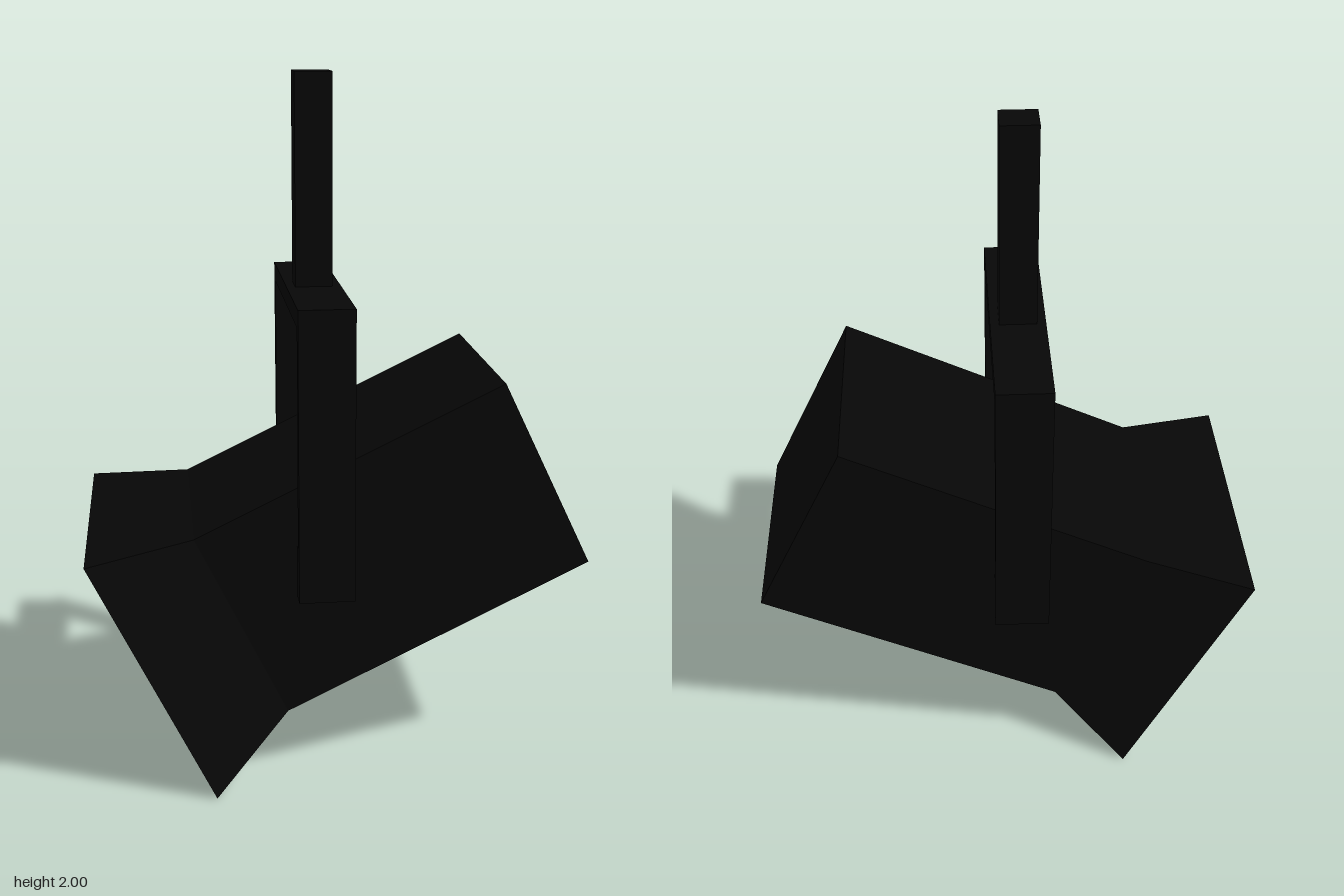
import * as THREE from 'three';

export function createModel() {
  const model = new THREE.Group();
  model.name = 'stageLight';

  const black = new THREE.MeshStandardMaterial({ color: 0x070707 });
  black.name = 'matte black';
  const blackShell = new THREE.MeshStandardMaterial({ color: 0x070707, side: THREE.DoubleSide });
  blackShell.name = 'matte black shell';
  const glass = new THREE.MeshStandardMaterial({ color: 0xcccccc });
  glass.name = 'pale lens';

  const add = (parent, name, geometry, material, x, y, z) => {
    const mesh = new THREE.Mesh(geometry, material);
    mesh.name = name;
    mesh.position.set(x, y, z);
    parent.add(mesh);
  };
  const box = (parent, name, size, pos, material = black) =>
    add(parent, name, new THREE.BoxGeometry(...size), material, ...pos);

  // Tilted lamp head: local x runs along the beam axis, the opening is at -x
  const L = 0.966, H = 0.595, D = 0.645;
  const flareL = 0.284, flareH = 0.794, flareD = 0.84;
  const head = new THREE.Group();
  head.name = 'lampHead';
  head.position.set(0.148, 0.691, 0);
  head.rotation.z = Math.atan2(0.42, 0.87);
  model.add(head);
  box(head, 'housing', [L, H, D], [0, 0, 0]);

  // Flared hood: a box without its two end faces, widened at the opening
  const hood = new THREE.BoxGeometry(flareL, H, D);
  const p = hood.attributes.position;
  for (let i = 0; i < p.count; i++) {
    if (p.getX(i) < 0) {
      p.setY(i, Math.sign(p.getY(i)) * flareH / 2);
      p.setZ(i, Math.sign(p.getZ(i)) * flareD / 2);
    }
  }
  hood.setIndex(Array.from(hood.index.array).slice(12));
  hood.clearGroups();
  hood.computeVertexNormals();
  add(head, 'hood', hood, blackShell, -L / 2 - flareL / 2, 0, 0);

  // Lens plate set in the throat of the hood
  box(head, 'lens', [0.008, H, D], [-L / 2 - 0.043, 0, 0], glass);

  // Yoke: crossbar, two arms and the pads that hold the housing
  const yoke = new THREE.Group();
  yoke.name = 'yoke';
  yoke.position.x = -0.05;
  model.add(yoke);
  box(yoke, 'yokeCrossbar', [0.157, 0.053, 0.756], [0, 1.3735, 0]);
  for (const s of [1, -1]) {
    const side = s > 0 ? 'front' : 'back';
    box(yoke, side + 'YokeArm', [0.157, 0.78, 0.034], [0, 0.957, s * 0.361]);
    box(yoke, side + 'YokePad', [0.157, 0.15, 0.03], [0, 0.642, s * 0.332]);
  }

  // Hanging post
  box(model, 'hangingPost', [0.106, 0.6, 0.094], [-0.05, 1.7, 0]);

  return model;
}
